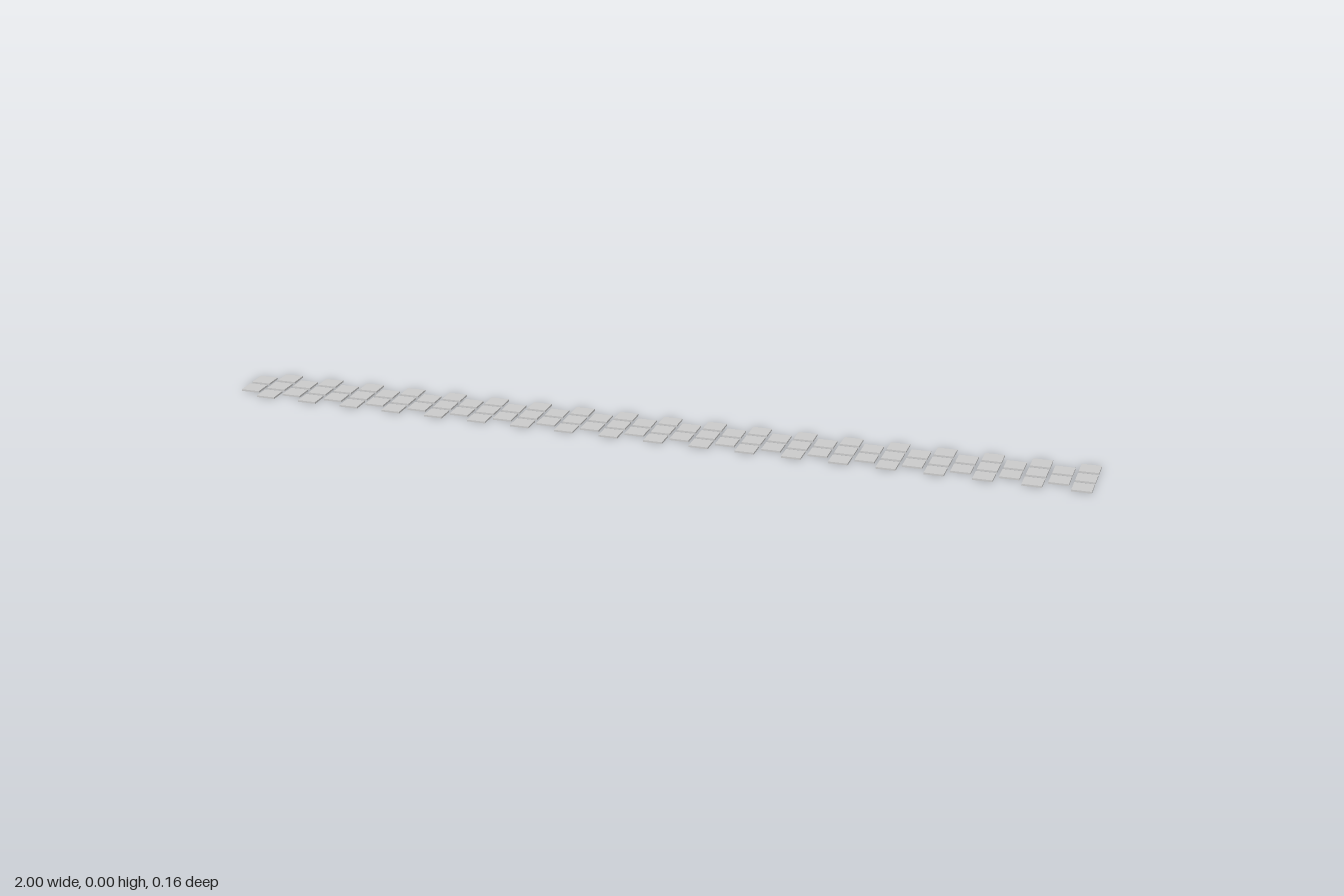
import * as THREE from 'three';

// A long path of thin paving slabs: columns alternate between two and three slabs.
export function createModel() {
  const path = new THREE.Group();
  path.name = 'pavingPath';

  const columns = 38;
  const width = 0.044, depth = 0.0445, height = 0.004;
  const pitchX = (2 - width) / (columns - 1);
  const pitchZ = 0.0555;

  const material = new THREE.MeshStandardMaterial({ color: 0xcccccc, flatShading: true });
  const slab = new THREE.BoxGeometry(width, height, depth);

  for (let c = 0; c < columns; c++) {
    const column = new THREE.Group();
    column.name = 'slabColumn';
    column.position.x = -1 + width / 2 + c * pitchX;

    // the staggered rows interlock like brickwork
    const count = c % 2 === 0 ? 2 : 3;
    for (let i = 0; i < count; i++) {
      const mesh = new THREE.Mesh(slab, material);
      mesh.name = 'pavingSlab';
      mesh.position.set(0, height / 2, (i - (count - 1) / 2) * pitchZ);
      column.add(mesh);
    }
    path.add(column);
  }
  return path;
}
